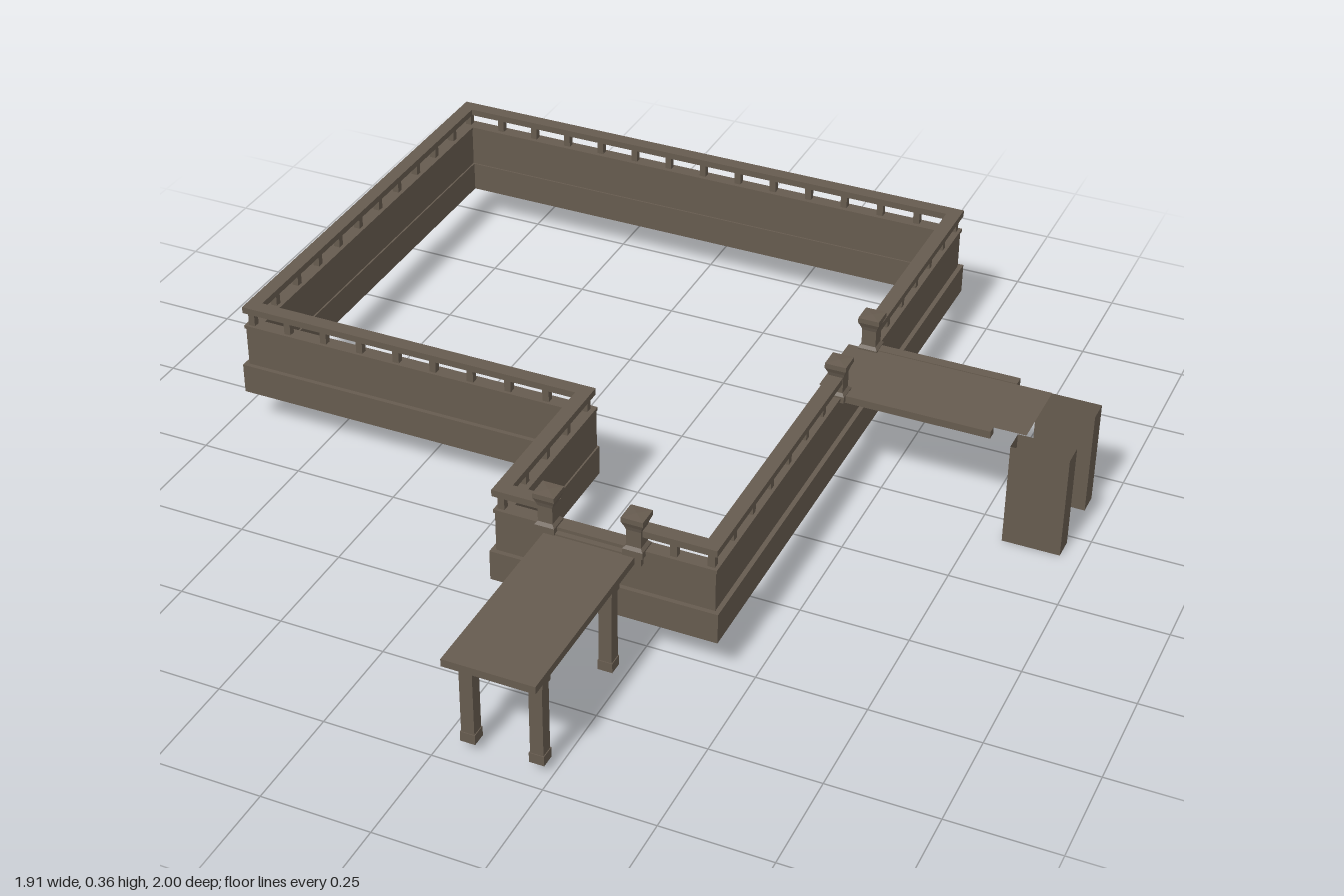
import * as THREE from 'three';

export function createModel() {
  const model = new THREE.Group();
  const stone = new THREE.MeshStandardMaterial({ color: 0x665b4f });
  stone.name = 'weathered brown';
  const thin = new THREE.MeshStandardMaterial({ color: 0x665b4f, side: THREE.DoubleSide });
  thin.name = 'thin weathered brown';

  const add = (geo, name, parent = model, mat = stone) => {
    const m = new THREE.Mesh(geo, mat);
    m.name = name;
    parent.add(m);
    return m;
  };
  // Box given by its limits on each axis
  const box = (x0, x1, y0, y1, z0, z1, name, parent) => {
    const m = add(new THREE.BoxGeometry(x1 - x0, y1 - y0, z1 - z0), name, parent);
    m.position.set((x0 + x1) / 2, (y0 + y1) / 2, (z0 + z1) / 2);
    return m;
  };

  // Stepped plan of the terrace, moved inwards by d
  const plan = d => [
    [-0.955 + d, -1 + d], [0.428 - d, -1 + d], [0.428 - d, 0.538 - d],
    [-0.1 + d, 0.538 - d], [-0.1 + d, 0.132 - d], [-0.955 + d, 0.132 - d],
  ].map(([x, z]) => new THREE.Vector2(x, -z));

  // Closed wall course between two insets; the hole runs the other way round
  const course = (d0, d1, y0, y1, name) => {
    const shape = new THREE.Shape(plan(d0));
    shape.holes.push(new THREE.Path(plan(d1).reverse()));
    const geo = new THREE.ExtrudeGeometry(shape, { depth: y1 - y0, bevelEnabled: false });
    geo.rotateX(-Math.PI / 2);
    geo.translate(0, y0, 0);
    return add(geo, name);
  };
  course(0, 0.045, 0.094, 0.168, 'wallBase');
  course(0.011, 0.041, 0.168, 0.266, 'wallPanel');
  course(0.008, 0.043, 0.266, 0.274, 'wallCoping');

  // Handrail and balusters, broken at the two landings
  const railing = new THREE.Group();
  railing.name = 'railing';
  model.add(railing);
  const runs = [
    [-0.93, -0.976, 0.404, -0.976], [-0.93, -0.976, -0.93, 0.109],
    [-0.93, 0.109, -0.077, 0.109], [-0.077, 0.109, -0.077, 0.514],
    [-0.077, 0.514, 0.035, 0.514], [0.235, 0.514, 0.404, 0.514],
    [0.404, -0.19, 0.404, 0.514], [0.404, -0.976, 0.404, -0.4],
  ];
  for (const [x0, z0, x1, z1] of runs) {
    const w = 0.017;
    box(x0 - w, x1 + w, 0.309, 0.325, z0 - w, z1 + w, 'handrail', railing);
    const n = Math.max(1, Math.round((x1 - x0 + z1 - z0) / 0.095));
    for (let i = 0; i <= n; i++) {
      const x = x0 + (x1 - x0) * i / n, z = z0 + (z1 - z0) * i / n;
      box(x - 0.008, x + 0.008, 0.272, 0.311, z - 0.008, z + 0.008, 'baluster', railing);
    }
  }

  // Square posts with a foot, shaft and flared cap
  const profile = [[0, 0.262], [0.023, 0.262], [0.023, 0.278], [0.017, 0.285], [0.017, 0.325],
    [0.02, 0.335], [0.025, 0.346], [0.025, 0.358], [0, 0.36]]
    .map(([r, y]) => new THREE.Vector2(r * Math.SQRT2, y));
  const postGeo = new THREE.LatheGeometry(profile, 4, Math.PI / 4).toNonIndexed();
  postGeo.computeVertexNormals();
  for (const [x, z] of [[0.035, 0.522], [0.237, 0.522], [0.405, -0.19], [0.405, -0.398]]) {
    add(postGeo, 'gatePost').position.set(x, 0, z);
  }

  // Front jetty
  const jetty = new THREE.Group();
  jetty.name = 'frontJetty';
  model.add(jetty);
  box(0.032, 0.24, 0.242, 0.26, 0.5, 1, 'jettyDeck', jetty);
  box(0.015, 0.255, 0.24, 0.264, 0.515, 0.541, 'jettyThreshold', jetty);
  for (const x of [0.061, 0.216]) {
    for (const z of [0.619, 0.94]) {
      box(x - 0.015, x + 0.015, 0.022, 0.22, z - 0.015, z + 0.015, 'jettyLeg', jetty);
      box(x - 0.018, x + 0.018, 0.22, 0.243, z - 0.018, z + 0.018, 'jettyLegCap', jetty);
      box(x - 0.017, x + 0.017, 0.021, 0.045, z - 0.017, z + 0.017, 'jettyLegFoot', jetty);
    }
  }

  // Side jetty: thin deck, edge beams and open-ended hollow piers
  const side = new THREE.Group();
  side.name = 'sideJetty';
  model.add(side);
  const deck = add(new THREE.PlaneGeometry(0.486, 0.185).rotateX(-Math.PI / 2), 'sideDeck', side, thin);
  deck.position.set(0.599, 0.274, -0.2925);
  box(0.42, 0.76, 0.258, 0.276, -0.41, -0.385, 'sideBeam', side);
  box(0.42, 0.767, 0.258, 0.276, -0.2, -0.178, 'sideBeam', side);
  for (const z of [-0.198, -0.385]) {
    const pier = new THREE.CylinderGeometry(Math.SQRT1_2, Math.SQRT1_2, 1, 4, 1, true)
      .rotateY(Math.PI / 4).toNonIndexed();
    pier.scale(0.135, 0.255, 0.053);
    pier.computeVertexNormals();
    add(pier, 'sidePier', side, thin).position.set(0.8835, 0.1275, z);
  }
  return model;
}
